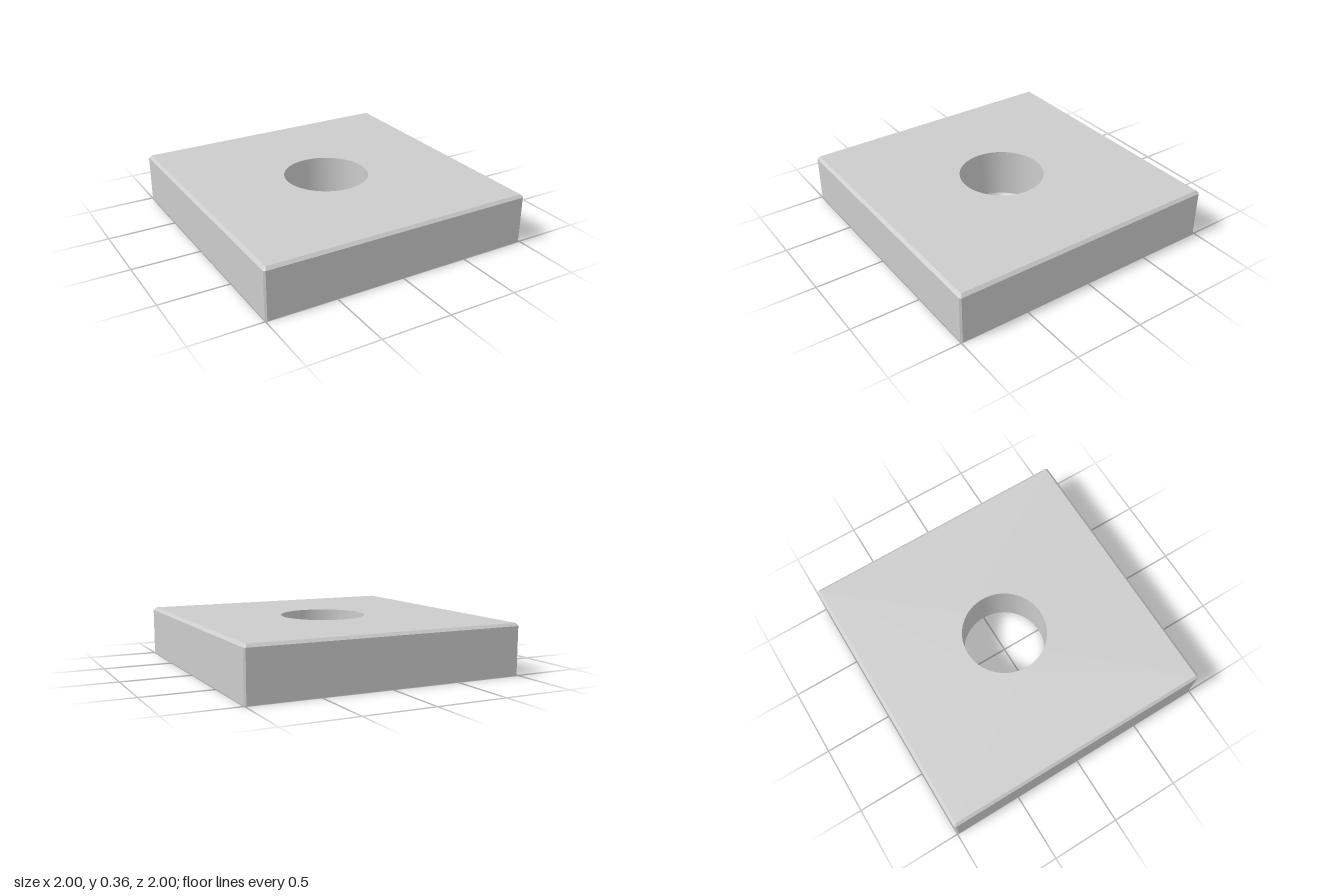
import * as THREE from 'three';
import { toCreasedNormals } from 'three/addons/utils/BufferGeometryUtils.js';

const HEIGHT = 0.364, CHAMFER = 0.02, CORNER = 0.012;
const BORE_R = 0.305, POCKET_R = 0.086, POCKET_Z = 0.765, POCKET_DEPTH = 0.2;
const SEGMENTS = 64;

// Square outline with cut corners, anticlockwise in (x, y)
function outline(half, cut) {
  const a = half, b = half - cut;
  return [[a, -b], [a, b], [b, a], [-b, a], [-a, b], [-a, -b], [-b, -a], [b, -a]]
    .map(([x, y]) => new THREE.Vector2(x, y));
}

// Flat plate with round holes given as [x, y, radius]
function plate(points, holes) {
  const shape = new THREE.Shape(points);
  for (const [x, y, r] of holes) {
    shape.holes.push(new THREE.Path().absarc(x, y, r, 0, Math.PI * 2, true));
  }
  return new THREE.ShapeGeometry(shape, SEGMENTS);
}

// Flat-faced band through matching rings, ordered from bottom to top
function band(rings) {
  const pos = [];
  for (let k = 0; k < rings.length - 1; k++) {
    const lo = rings[k], hi = rings[k + 1], n = lo.length;
    for (let i = 0; i < n; i++) {
      const j = (i + 1) % n;
      for (const p of [lo[i], hi[j], lo[j], lo[i], hi[i], hi[j]]) pos.push(p.x, p.y, p.z);
    }
  }
  const geo = new THREE.BufferGeometry();
  geo.setAttribute('position', new THREE.Float32BufferAttribute(pos, 3));
  geo.computeVertexNormals();
  return geo;
}

// Inward-facing round wall; the profile runs from the top down
function cavity(profile) {
  const pts = profile.map(([r, y]) => new THREE.Vector2(r, y));
  return toCreasedNormals(new THREE.LatheGeometry(pts, SEGMENTS), 0.6);
}

export function createModel() {
  const group = new THREE.Group();
  const material = new THREE.MeshStandardMaterial({ color: 0xcccccc });
  const add = (name, geometry) => {
    const mesh = new THREE.Mesh(geometry, material);
    mesh.name = name;
    group.add(mesh);
    return mesh;
  };

  const base = outline(1, CORNER);
  const half = 1 - CHAMFER;

  // Side walls and the chamfer round the top, clockwise seen from below
  const ring = (pts, y) => pts.map((p) => new THREE.Vector3(p.x, y, -p.y)).reverse();
  add('sideWalls', band([
    ring(base, 0),
    ring(base, HEIGHT - CHAMFER),
    ring(outline(half, 0.0003), HEIGHT),
  ]));

  // Top face with the central opening
  add('topFace', plate(outline(half, 0.0003), [[0, 0, BORE_R]])
    .rotateX(-Math.PI / 2).translate(0, HEIGHT, 0));

  // Underside with the opening and two pocket mouths
  add('bottomFace', plate(base, [
    [0, 0, BORE_R], [0, POCKET_Z, POCKET_R], [0, -POCKET_Z, POCKET_R],
  ]).rotateX(Math.PI / 2));

  // Through bore
  add('centreBore', cavity([[BORE_R, HEIGHT], [BORE_R, 0]]));

  // Blind pockets in the underside, front and back
  for (const [name, s] of [['frontPocket', 1], ['backPocket', -1]]) {
    add(name, cavity([[0, POCKET_DEPTH], [POCKET_R, POCKET_DEPTH], [POCKET_R, 0]]))
      .position.z = s * POCKET_Z;
  }
  return group;
}
